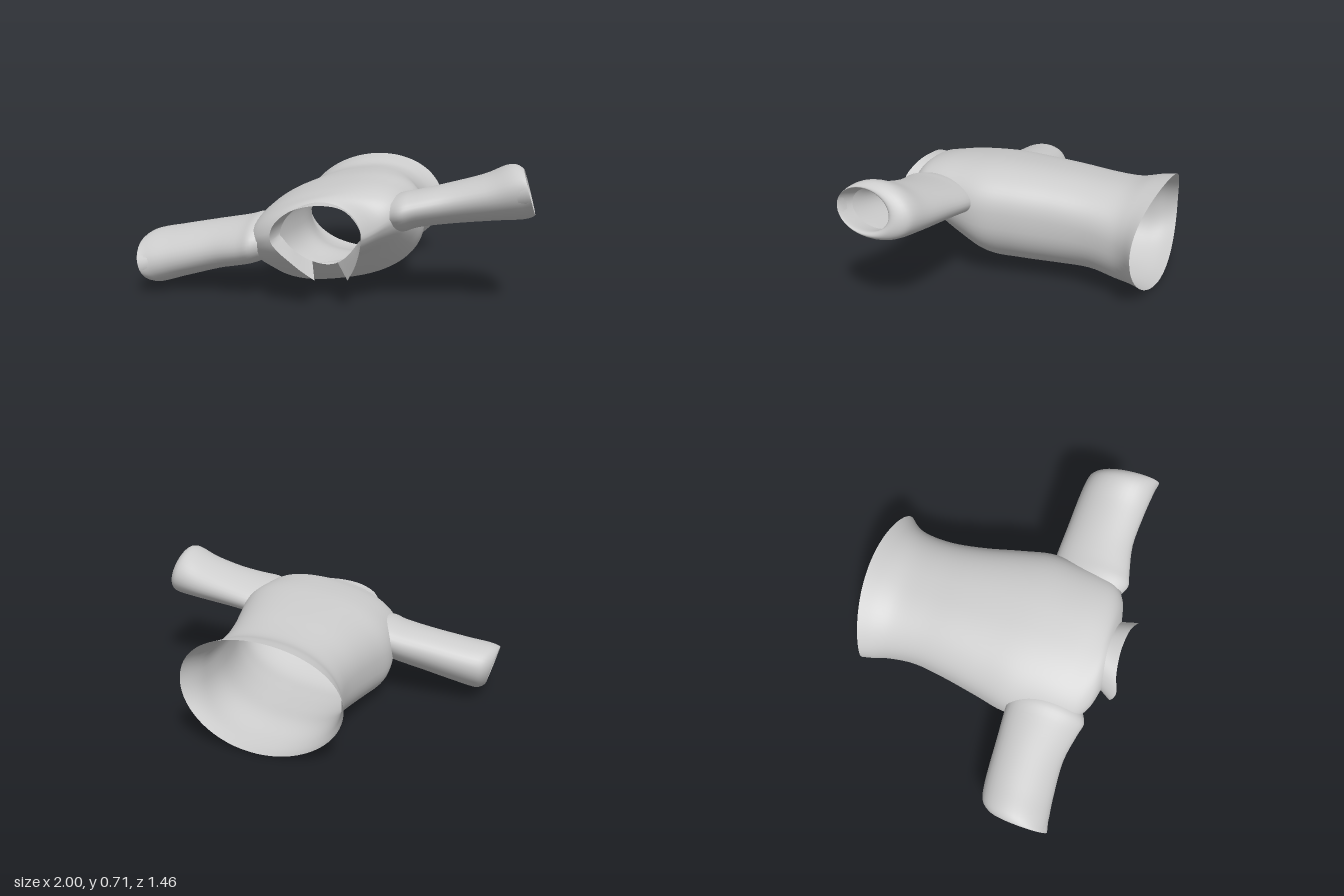
import * as THREE from 'three';

const material = new THREE.MeshStandardMaterial({ color: 0xcccccc, side: THREE.DoubleSide });

// Smoothly resample rows of section values, `steps` samples between rows
function resample(rows, steps) {
  const out = [];
  const row = (i) => rows[Math.min(Math.max(i, 0), rows.length - 1)];
  for (let i = 0; i < rows.length - 1; i++) {
    for (let s = 0; s < steps; s++) {
      const t = s / steps;
      out.push(row(i).map((b, j) => {
        const a = row(i - 1)[j], c = row(i + 1)[j], d = row(i + 2)[j];
        return b + 0.5 * t * (c - a + t * (2 * a - 5 * b + 4 * c - d + t * (3 * (b - c) + d - a)));
      }));
    }
  }
  out.push(rows[rows.length - 1]);
  return out;
}

// Skin a list of equal-length rings; skip(centre) leaves a hole
function loft(name, rings, closed = true, skip = () => false) {
  const n = rings[0].length, index = [];
  for (let i = 0; i < rings.length - 1; i++) {
    for (let j = 0; j < (closed ? n : n - 1); j++) {
      const k = (j + 1) % n;
      const centre = rings[i][j].clone().add(rings[i + 1][k]).multiplyScalar(0.5);
      if (skip(centre)) continue;
      const a = i * n + j, b = i * n + k, c = a + n, d = b + n;
      index.push(a, b, d, a, d, c);
    }
  }
  const geometry = new THREE.BufferGeometry().setFromPoints(rings.flat());
  geometry.setIndex(index);
  geometry.computeVertexNormals();
  const mesh = new THREE.Mesh(geometry, material);
  mesh.name = name;
  return mesh;
}

const power = (v, e) => Math.sign(v) * Math.abs(v) ** e;

function ring(count, point) {
  return Array.from({ length: count }, (_, i) => {
    const a = (i / count) * Math.PI * 2;
    return point(Math.cos(a), Math.sin(a));
  });
}

// Torso from flared hem to neck rim:
// z, cx, cy, rx, ry, tilt, roundness, taper, backward sweep of top and of bottom
const torsoRows = [
  [-0.67, 0.015, 0.303, 0.425, 0.298, 0.06, 1, 0, 0.06, 0.033],
  [-0.61, 0.0, 0.296, 0.39, 0.288, 0.08, 0.95, 0, 0.033, 0.018],
  [-0.53, 0.0, 0.29, 0.36, 0.268, 0.1, 0.88, 0, 0, 0],
  [-0.38, 0.0, 0.306, 0.345, 0.256, 0.12, 0.84, 0, 0, 0],
  [-0.2, 0.0, 0.31, 0.365, 0.268, 0.14, 0.82, 0, 0, 0],
  [0.0, 0.004, 0.312, 0.405, 0.279, 0.16, 0.82, 0, 0, 0],
  [0.17, 0.004, 0.316, 0.438, 0.28, 0.17, 0.82, 0, 0, 0],
  [0.32, 0.0, 0.345, 0.425, 0.244, 0.18, 0.84, 0, 0, 0],
  [0.45, -0.005, 0.37, 0.405, 0.205, 0.2, 0.86, 0, 0, 0.02],
  [0.55, -0.005, 0.38, 0.375, 0.177, 0.2, 0.9, 0.05, 0.01, 0.06],
  [0.615, 0, 0.378, 0.3, 0.168, 0.14, 0.95, 0.18, 0.028, 0.095],
  [0.645, 0.005, 0.367, 0.2, 0.163, 0, 1, 0.35, 0.033, 0.115],
];

// Sleeve, outward: |x|, cy, cz, ry, rz; the last rows turn the cuff inward
const leftSleeve = [
  [0.33, 0.455, 0.405, 0.095, 0.19],
  [0.38, 0.465, 0.405, 0.1, 0.212],
  [0.45, 0.483, 0.395, 0.095, 0.205],
  [0.6, 0.512, 0.385, 0.1, 0.187],
  [0.78, 0.548, 0.393, 0.112, 0.187],
  [0.89, 0.578, 0.405, 0.13, 0.187],
  [0.94, 0.588, 0.42, 0.127, 0.178],
  [0.97, 0.59, 0.45, 0.108, 0.155],
  [0.955, 0.59, 0.465, 0.094, 0.138],
  [0.88, 0.57, 0.45, 0.09, 0.135],
];
const rightSleeve = [
  [0.33, 0.31, 0.405, 0.11, 0.19],
  [0.38, 0.3, 0.405, 0.12, 0.212],
  [0.45, 0.28, 0.395, 0.12, 0.205],
  [0.6, 0.25, 0.385, 0.12, 0.187],
  [0.78, 0.21, 0.393, 0.124, 0.187],
  [0.89, 0.185, 0.405, 0.13, 0.187],
  [0.94, 0.172, 0.42, 0.127, 0.178],
  [0.97, 0.168, 0.45, 0.108, 0.155],
  [0.955, 0.17, 0.465, 0.094, 0.138],
  [0.88, 0.19, 0.45, 0.09, 0.135],
];

function sleeve(name, rows, side) {
  const rings = resample(rows, 4).map(([x, cy, cz, ry, rz]) => ring(36, (c, s) => {
    // cuffs lie square to the sloping sleeve
    const lean = 0.28 * Math.min(1, Math.max(0, (x - 0.45) / 0.3));
    const dy = ry * s;
    return new THREE.Vector3(side * x - lean * dy, cy + dy + 0.1 * rz * c * side, cz + rz * c);
  }));
  return loft(name, rings);
}

export function createModel() {
  const group = new THREE.Group();
  group.name = 'garment';

  // Torso, with armholes left open inside the sleeve roots
  const torso = resample(torsoRows, 5).map(([z, cx, cy, rx, ry, tilt, e, taper, top, bottom]) =>
    ring(64, (c, s) => {
      const dx = rx * power(c, e) * (1 - taper * Math.max(0, -s) ** 0.7);
      const sweep = (s > 0 ? top : bottom) * s * s;
      return new THREE.Vector3(cx + dx, cy + ry * power(s, e) + tilt * dx, z - sweep);
    }));
  const armhole = (p) => {
    const cy = p.x > 0 ? 0.475 : 0.29;
    return Math.abs(p.x) > 0.35 && ((p.z - 0.4) / 0.14) ** 2 + ((p.y - cy) / 0.06) ** 2 < 1;
  };
  group.add(loft('torso', torso, true, armhole));

  group.add(sleeve('leftSleeve', leftSleeve, 1), sleeve('rightSleeve', rightSleeve, -1));

  // Collar band rising from the neck rim, open at the throat
  const rim = torso[torso.length - 1];
  const neckEdge = Array.from({ length: 55 }, (_, i) => rim[(i + 53) % 64].clone());
  const freeEdge = new THREE.CatmullRomCurve3([
    [0.13, 0.15, 0.61], [0.18, 0.24, 0.665], [0.215, 0.36, 0.71], [0.212, 0.435, 0.73],
    [0.13, 0.51, 0.695], [0, 0.525, 0.68], [-0.13, 0.495, 0.695],
    [-0.205, 0.43, 0.725], [-0.225, 0.345, 0.705], [-0.12, 0.22, 0.66], [-0.035, 0.14, 0.61],
  ].map((p) => new THREE.Vector3(...p)));
  group.add(loft('collar', [neckEdge, freeEdge.getPoints(54)], false));

  return group;
}
